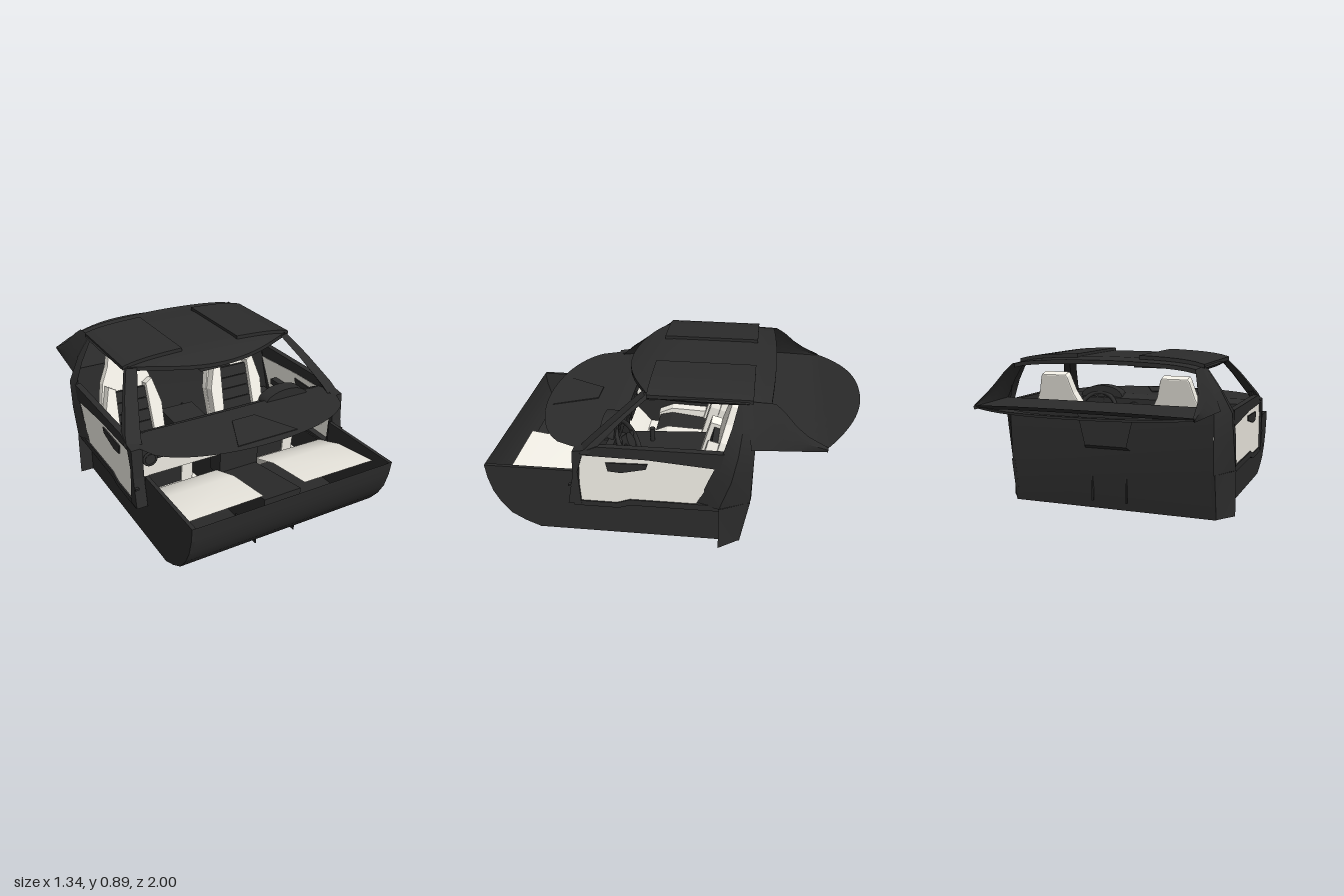
import * as THREE from 'three';
import { toCreasedNormals } from 'three/addons/utils/BufferGeometryUtils.js';

const dark = new THREE.MeshStandardMaterial({ color: 0x2c2c2c, side: THREE.DoubleSide });
const pale = new THREE.MeshStandardMaterial({ color: 0xf4f1e8, side: THREE.DoubleSide });
const V = (a) => new THREE.Vector3(...a);

export function createModel() {
  const root = new THREE.Group();
  const add = (name, geo, mat = dark, parent = root) => {
    const m = new THREE.Mesh(geo, mat);
    m.name = name;
    parent.add(m);
    return m;
  };
  const box = (name, w, h, d, x, y, z, mat = dark, parent = root) =>
    add(name, new THREE.BoxGeometry(w, h, d).translate(x, y, z), mat, parent);

  // Smooth sheet through rows of points
  const sheet = (rows) => {
    const n = rows[0].length, idx = [];
    for (let i = 0; i < rows.length - 1; i++)
      for (let j = 0; j < n - 1; j++) {
        const a = i * n + j, b = a + n;
        idx.push(a, b, a + 1, a + 1, b, b + 1);
      }
    const g = new THREE.BufferGeometry();
    g.setAttribute('position', new THREE.Float32BufferAttribute(rows.flat(2), 3));
    g.setIndex(idx);
    return toCreasedNormals(g, 0.6);
  };
  // Sheet from f(u, v), u in -1..1 and v in 0..1
  const surface = (f, nu, nv) => sheet(Array.from({ length: nv + 1 }, (_, i) =>
    Array.from({ length: nu + 1 }, (_, j) => f(j / nu * 2 - 1, i / nv))));
  // Plate outlined in (z, y), extruded over a width centred at x
  const plate = (pts, x, w) => new THREE.ExtrudeGeometry(
    new THREE.Shape(pts.map((p) => new THREE.Vector2(...p))), { depth: w, bevelEnabled: false })
    .rotateY(-Math.PI / 2).translate(x + w / 2, 0, 0);
  // Four-sided bar along a path
  const bar = (pts, r) => toCreasedNormals(new THREE.TubeGeometry(
    new THREE.CatmullRomCurve3(pts.map(V)), 12, r, 4, false), 0.5);

  // Tub: curved nose, floor and rear bulkhead
  const nose = [[1, .41], [.99, .33], [.967, .246], [.93, .176], [.877, .11], [.8, .064], [.72, .03]];
  const back = [[-.38, .03], [-.433, .31], [-.44, .625]];
  add('tubShell', sheet([...nose, ...back].map(([z, y]) => [[-.585, y, z], [.585, y, z]])));
  for (const s of [-1, 1]) {
    add('tubSide', plate([...nose, [-.38, .03], [-.428, .28], [.2, .28], [.26, .25],
      [.5, .25], [.5, .41]], s * .582, .02));
    box('tunnelFin', .006, .06, .2, s * .12, .06, .72);
    box('bulkheadRib', .008, .16, .015, s * .1, .16, -.41);
  }
  add('bulkheadHatch', sheet([[.58, .17, -.44], [.57, .16, -.465], [.4, .12, -.465], [.38, .13, -.435]]
    .map(([y, w, z]) => [[-w, y, z], [w, y, z]])));

  // Footwells and centre tunnel
  for (const s of [-1, 1])
    add('footwellFloor', sheet([[.88, .365], [.6, .325], [.42, .26], [.28, .1], [-.36, .055]]
      .map(([z, y]) => [[s * .125, y, z], [s * .578, y - .005, z]])), pale);
  add('centreTunnel', plate([[.76, .06], [.86, .2], [.87, .33], [.42, .25], [.3, .27], [-.3, .3], [-.38, .06]], 0, .22));
  add('gearLever', new THREE.CylinderGeometry(.018, .012, .1, 10).translate(0, .31, .18));

  // Roof skin with arched front edge
  const roofY = (x, z) => .872 - .02 * (x / .5) ** 2 - .015 * (x / .52) ** 8
    - (z > .05 ? .04 * ((z - .05) / .23) ** 2 : 0) - (z < -.4 ? .008 : 0);
  const roofPoint = (u, v, drop) => {
    const x = u * .51, z0 = .28 - .17 * u * u, z1 = -.53 + .02 * u * u, z = z0 + (z1 - z0) * v;
    return [x, roofY(x, z) - drop, z];
  };
  add('roofSkin', surface((u, v) => roofPoint(u, v, 0), 20, 16));
  add('roofLining', surface((u, v) => roofPoint(u * .98, v, .022), 20, 16));
  add('windscreenHeader', surface((u, v) => roofPoint(u, 0, v * .022), 20, 1));
  add('rearHeader', surface((u, v) => roofPoint(u, 1, v * .022), 20, 1));

  // Lift-out roof panels
  for (const s of [-1, 1]) {
    const g = new THREE.BoxGeometry(.35, .02, .54, 8, 1, 6).translate(s * .35, 0, -.15);
    const p = g.attributes.position;
    for (let i = 0; i < p.count; i++)
      p.setY(i, p.getY(i) + roofY(p.getX(i), 0) + .006);
    g.computeVertexNormals();
    add('roofPanel', toCreasedNormals(g, .5));
  }

  // Body sides, pillars and doors
  for (const s of [-1, 1]) {
    const side = new THREE.Group();
    side.name = s > 0 ? 'leftSide' : 'rightSide';
    root.add(side);
    const put = (n, g, m = dark) => add(n, g, m, side);
    put('windscreenPillar', sheet([[.84, .455, .51, .15, .1], [.74, .51, .575, .27, .22],
      [.61, .57, .645, .42, .35], [.56, .585, .66, .47, .41]].map(([y, xi, xo, zf, zr]) =>
      [[s * xi, y, zf], [s * xo, y, zf - .02], [s * xo, y, zr], [s * (xi + .02), y, zr], [s * xi, y, zf]])));
    put('roofRail', bar([[s * .495, .832, .13], [s * .515, .832, -.1], [s * .515, .832, -.4]], .016));
    put('hingePost', plate([[.53, .25], [.46, .25], [.47, .45], [.43, .58], [.49, .57], [.5, .41]], s * .625, .06));
    box('doorHinge', .02, .03, .03, s * .635, .3, .5, pale, side);
    box('doorHinge', .02, .01, .05, s * .645, .36, .5, dark, side);
    put('sill', plate([[.5, .235], [.5, .265], [.27, .265], [.2, .29], [-.28, .29], [-.28, .255], [.2, .255], [.26, .235]], s * .615, .07));
    // Rear pillar flowing down into a flange at the tub corner
    put('rearPillar', sheet([
      [.28, .63, -.15, .665, -.27, .585, -.428],
      [.45, .65, -.215, .665, -.33, .585, -.435],
      [.6, .65, -.28, .66, -.36, .585, -.44],
      [.72, .59, -.32, .6, -.375, .575, -.43],
      [.84, .515, -.35, .52, -.38, .51, -.41],
    ].map(([y, a, b, c, d, e, f]) => [[s * a, y, b], [s * c, y, d], [s * e, y, f]])));
    put('rearFlange', sheet([[.03, -.38], [.28, -.428]].map(([y, z]) =>
      [[s * .585, y, -.27], [s * .668, y, -.27], [s * .585, y, z]])));
    // Panel sweeping from the roof down to the parcel shelf
    put('quarterPanel', sheet([[-.39, .838, .51, -.42, .615], [-.46, .834, .51, -.45, .61], [-.53, .832, .51, -.52, .605],
      [-.58, .795, .53, -.57, .6], [-.64, .735, .555, -.64, .595], [-.7, .69, .57, -.7, .59],
      [-.8, .64, .58, -.8, .582]].map(([z, y, x, zb, xb]) =>
      [[s * x, y, z], [s * (x * .5 + xb * .5 + .008), y * .5 + .311, (z + zb) / 2], [s * xb, .615, zb]])));
    // Door trim
    put('doorCard', plate([[.47, .265], [.26, .265], [.2, .29], [-.15, .29], [-.27, .52], [.1, .545], [.46, .55]], s * .63, .025), pale);
    put('doorTopRail', plate([[.46, .55], [.1, .545], [-.27, .515], [-.29, .605], [.36, .605], [.42, .58]], s * .637, .035));
    put('doorPull', plate([[.32, .51], [.31, .46], [.24, .455], [.11, .485], [.1, .515]], s * .63, .04));
    box('doorArmrest', .05, .035, .36, s * .6, .42, .08, dark, side);
    put('sailTrim', plate([[.42, .59], [.32, .6], [.3, .635], [.34, .63]], s * .615, .02));
  }

  // Parcel shelf, flat with a bowed, upturned tail and a rim below
  const tail = (u) => -.8 - .2 * (1 - Math.abs(u) ** 2.2);
  const shelfY = (z) => .632 + .046 * Math.max(0, (-z - .78) / .22);
  add('parcelShelf', surface((u, v) => {
    const z = -.43 + (tail(u) + .43) * v;
    return [u * (.605 - .025 * v), shelfY(z), z];
  }, 24, 16));
  const arc = (w, zEnd, zMid, zFront) => {
    const pts = [new THREE.Vector2(w, -zFront)];
    for (let i = 0; i <= 20; i++) {
      const u = 1 - i / 10;
      pts.push(new THREE.Vector2(w * u, -(zEnd + (zMid - zEnd) * (1 - Math.abs(u) ** 2.6))));
    }
    pts.push(new THREE.Vector2(-w, -zFront));
    return pts;
  };
  const rim = new THREE.Shape(arc(.575, -.78, -.93, -.44));
  rim.holes.push(new THREE.Path(arc(.48, -.72, -.9, -.53)));
  add('shelfRim', new THREE.ExtrudeGeometry(rim, { depth: .012, bevelEnabled: false }).rotateX(-Math.PI / 2).translate(0, .618, 0));
  add('tailLip', surface((u, v) => [u * .58, shelfY(tail(u)) - .025 * (1 - v), tail(u) + .05 * (1 - v)], 24, 1));

  // Dashboard: scuttle, body, lower trim
  add('scuttle', surface((u, v) => {
    const z0 = .36 - .02 * u * u, z1 = .49 + .28 * Math.sqrt(1 - u * u * .999);
    return [u * .61, .576 - .006 * u * u + .004 * v, z0 + (z1 - z0) * v];
  }, 32, 4));
  const wedge = new THREE.Shape([[.07, -.48], [.18, -.72], [-.18, -.72], [-.07, -.48]].map((p) => new THREE.Vector2(...p)));
  add('scuttlePanel', new THREE.ExtrudeGeometry(wedge, { depth: .006, bevelEnabled: false }).rotateX(-Math.PI / 2).translate(0, .577, 0));
  add('dashBody', plate([[.47, .57], [.36, .575], [.3, .55], [.3, .5], [.34, .47], [.47, .475]], 0, 1.2));
  add('lowerDash', plate([[.44, .475], [.34, .475], [.36, .4], [.43, .36]], 0, 1.16), pale);
  box('centreStack', .24, .2, .11, 0, .33, .395);
  box('centreScreen', .14, .07, .2, 0, .477, .39);
  for (const x of [-.55, -.125, .125, .55]) {
    add('airVent', new THREE.CylinderGeometry(.028, .028, .19, 20).rotateX(Math.PI / 2).translate(x, .49, .39));
    for (const z of [.3, .48])
      add('ventRing', new THREE.TorusGeometry(.034, .007, 8, 24).translate(x, .49, z));
  }

  // Instrument pod, column and steering wheel
  const pod = new THREE.Group();
  pod.name = 'instrumentPod';
  root.add(pod);
  add('podHood', new THREE.CylinderGeometry(.14, .14, .08, 24, 1, false, Math.PI / 2, Math.PI)
    .rotateX(Math.PI / 2).scale(1, .5, 1).translate(.35, .557, .345), dark, pod);
  box('podFace', .27, .08, .17, .35, .53, .395, dark, pod);
  for (const x of [.295, .41])
    for (const z of [.305, .485])
      add('gaugeRing', new THREE.TorusGeometry(.038, .006, 8, 24).translate(x, .53, z), dark, pod);
  box('steeringColumn', .1, .08, .2, .355, .455, .38);
  const wheel = new THREE.Group();
  wheel.name = 'steeringWheel';
  wheel.position.set(.36, .47, .255);
  wheel.rotation.x = .5;
  root.add(wheel);
  add('wheelRim', new THREE.TorusGeometry(.125, .013, 10, 36), dark, wheel);
  add('wheelHub', new THREE.CylinderGeometry(.042, .05, .04, 20).rotateX(Math.PI / 2), dark, wheel);
  for (const a of [0, Math.PI, -Math.PI / 2])
    add('wheelSpoke', new THREE.BoxGeometry(.1, .026, .012).translate(.075, 0, 0).rotateZ(a), dark, wheel);

  // Rear-view mirror
  box('mirrorStem', .02, .05, .02, -.01, .82, .2);
  add('mirror', new THREE.CylinderGeometry(.085, .095, .045, 4, 1).rotateY(Math.PI / 4)
    .scale(1.35, 1, .25).translate(-.012, .785, .19));

  // Seats
  const extrudeXY = (pts, d) => new THREE.ExtrudeGeometry(
    new THREE.Shape(pts.map((p) => new THREE.Vector2(...p))),
    { depth: d, bevelEnabled: true, bevelSize: .006, bevelThickness: .008, bevelSegments: 2 });
  for (const x of [-.35, .35]) {
    const seat = new THREE.Group();
    seat.name = 'seat';
    seat.position.x = x;
    root.add(seat);
    for (const s of [-1, 1])
      add('cushionBolster', plate([[.2, .06], [.21, .21], [.12, .25], [-.12, .24], [-.22, .06]], s * .155, .07), pale, seat);
    add('cushion', plate([[.19, .06], [.2, .2], [.12, .22], [-.2, .18], [-.2, .06]], 0, .25), dark, seat);
    // Tapered pale well sitting through the floor
    add('seatWell', sheet([[.045, .15, -.01, -.28], [.005, .14, -.05, -.25]].map(([y, w, a, b]) =>
      [[-w, y, a], [w, y, a], [w, y, b], [-w, y, b], [-w, y, a]])), pale, seat);
    box('seatWellBase', .28, .005, .2, 0, .0025, -.15, pale, seat);
    // Reclined shell with a tapered integral headrest
    const rest = new THREE.Group();
    rest.name = 'backrest';
    rest.position.set(0, .165, -.19);
    rest.rotation.x = -.27;
    seat.add(rest);
    add('backShell', extrudeXY([[-.17, 0], [.17, 0], [.18, .25], [.145, .42], [.1, .51], [.075, .605], [.068, .615],
      [-.068, .615], [-.075, .605], [-.1, .51], [-.145, .42], [-.18, .25]], .04), pale, rest);
    for (const s of [-1, 1])
      add('backBolster', extrudeXY([[s * .115, 0], [s * .17, 0], [s * .175, .25], [s * .135, .4], [s * .1, .38]], .1), pale, rest);
    for (let i = 0; i < 5; i++)
      box('backPad', .21, .066, .04, 0, .05 + i * .07, .06, dark, rest);
  }
  return root;
}
